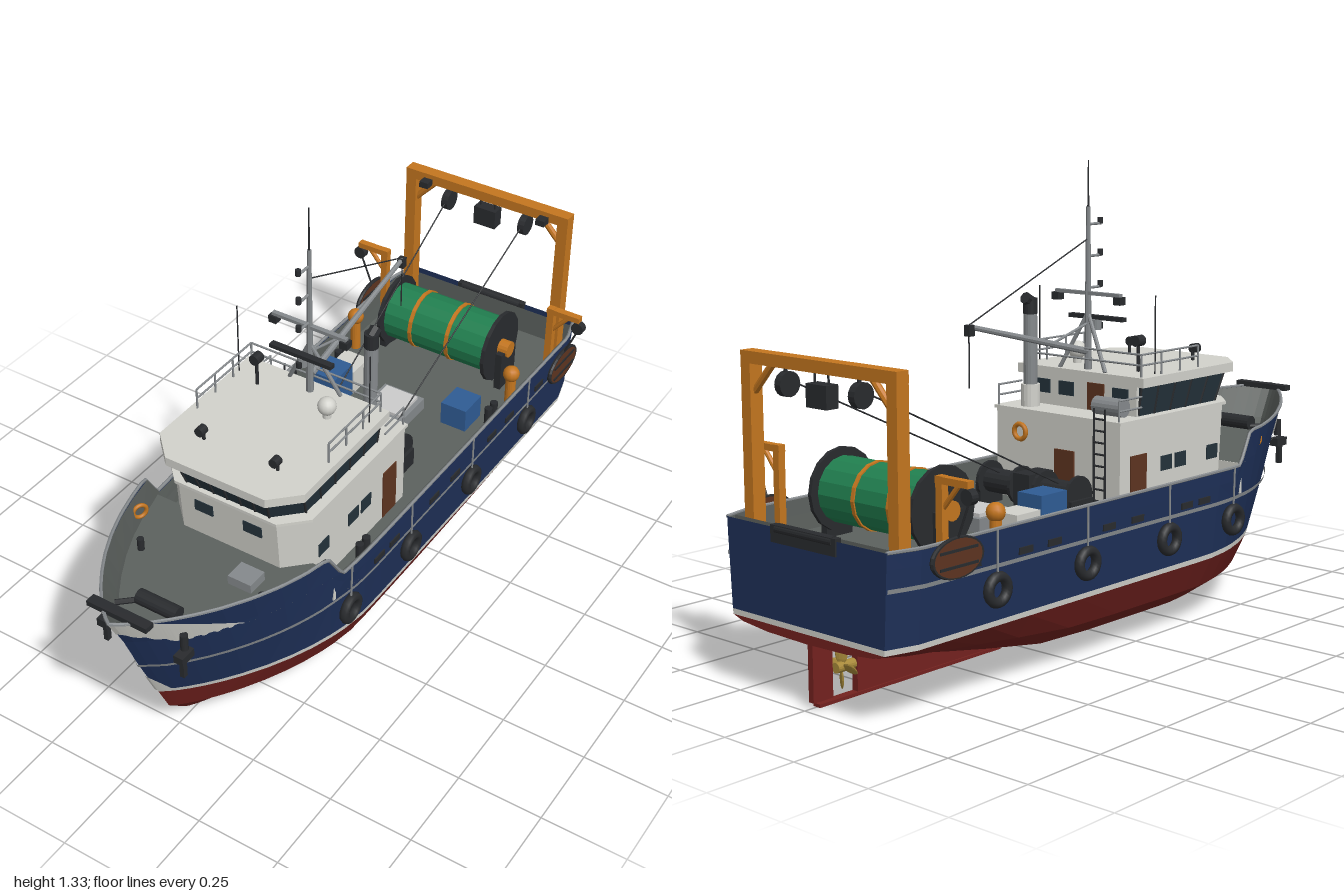
import * as THREE from 'three';

const COL = { blue: 0x1e3058, red: 0x74221f, white: 0xd2d2cc, deck: 0x5c615e, dark: 0x292b2e, orange: 0xc4761f,
  green: 0x218050, glass: 0x24323b, brown: 0x5e3420, grey: 0xcccccc, steel: 0x85898c, crate: 0x2f5c94, brass: 0xa88a3a };
const MAT = {}, SMOOTH = {};
for (const k in COL) {
  MAT[k] = new THREE.MeshStandardMaterial({ color: COL[k], flatShading: true, side: THREE.DoubleSide });
  SMOOTH[k] = new THREE.MeshStandardMaterial({ color: COL[k], side: THREE.DoubleSide });
}
const lerp = THREE.MathUtils.lerp, clamp01 = t => Math.min(1, Math.max(0, t));
const V = a => new THREE.Vector3(...a);
const STATIONS = [-0.99, -0.94, -0.9, -0.8, -0.65, -0.5, -0.3, -0.1, 0.1, 0.2, 0.3, 0.4, 0.46, 0.54, 0.62, 0.7, 0.78, 0.84, 0.89, 0.93, 0.96, 0.985, 1];

// Half section of the hull at a station, from keel to sheer
const sheer = z => z <= 0.4 ? 0.45 : z < 0.46 ? lerp(0.45, 0.54, (z - 0.4) / 0.06) : 0.54 + 0.045 * ((z - 0.46) / 0.54) ** 1.4;
function section(z0) {
  const keel = 0.015 + 0.155 * clamp01((-0.25 - z0) / 0.74) ** 1.15, top = sheer(z0);
  const bilge = f => keel + (0.195 - keel) * f;
  return [ // y, breadth, stem position, fullness of the bow
    [bilge(0), 0, 0.66, 1.6], [bilge(0.13), 0.5, 0.72, 1.6], [bilge(0.5), 0.82, 0.79, 1.7], [0.195, 0.955, 0.83, 1.8],
    [0.21, 0.96, 0.837, 1.8], [0.355, 0.985, 0.9, 2], [lerp(0.355, top, 0.55), 0.995, 0.95, 2.1], [top, 1, 1, 2.2],
  ].map(([y, b, stem, n]) => {
    const plan = (1 - clamp01((z0 - 0.25) / 0.75) ** n) ** 0.85 * (1 - 0.08 * clamp01((-0.9 - z0) / 0.09));
    return [0.32 * b * plan, y, z0 > 0.2 ? 0.2 + (z0 - 0.2) * (stem - 0.2) / 0.8 : z0];
  });
}
// Point on the hull at a station and height
function hullAt(z0, y) {
  const s = section(z0);
  let i = 0;
  while (i < s.length - 2 && s[i + 1][1] < y) i++;
  const t = clamp01((y - s[i][1]) / (s[i + 1][1] - s[i][1]));
  return s[i].map((v, k) => lerp(v, s[i + 1][k], t));
}
// Surface through rows of points
function surf(rows) {
  const w = rows[0].length, idx = [];
  for (let r = 0; r < rows.length - 1; r++) for (let c = 0; c < w - 1; c++) {
    const a = r * w + c;
    idx.push(a, a + 1, a + w, a + 1, a + w + 1, a + w);
  }
  const g = new THREE.BufferGeometry();
  g.setAttribute('position', new THREE.Float32BufferAttribute(rows.flat(2), 3));
  g.setIndex(idx);
  g.computeVertexNormals();
  return g;
}
// Capped frustum between two outlines in x and z
function loft(a, ya, b, yb) {
  const ring = (p, y) => [...p, p[0]].map(([x, z]) => [x, y, z]);
  const mid = y => Array(a.length + 1).fill([0, y, 0.2]);
  return surf([mid(ya), ring(a, ya), ring(b, yb), mid(yb)]);
}
const foot = (x, zr, zf, c) => [[-x, zr], [x, zr], [x, zf - c], [x - c, zf], [c - x, zf], [-x, zf - c]];

export function createModel() {
  const root = new THREE.Group();
  const add = (name, col, geo, x = 0, y = 0, z = 0, mats = MAT) => {
    const m = new THREE.Mesh(geo, mats[col]);
    m.name = name; m.position.set(x, y, z); root.add(m);
    return m;
  };
  const box = (name, col, w, h, d, x, y, z) => add(name, col, new THREE.BoxGeometry(w, h, d), x, y, z);
  const cyl = (name, col, r, h, x, y, z, axis = 'y', r2 = r) => {
    const g = new THREE.CylinderGeometry(r2, r, h, 16);
    if (axis === 'x') g.rotateZ(Math.PI / 2);
    if (axis === 'z') g.rotateX(Math.PI / 2);
    return add(name, col, g, x, y, z);
  };
  const bar = (name, col, a, b, r, r2 = r) => {
    const d = V(b).sub(V(a)), m = add(name, col, new THREE.CylinderGeometry(r2, r, d.length(), 8));
    m.position.copy(V(a)).addScaledVector(d, 0.5);
    m.quaternion.setFromUnitVectors(V([0, 1, 0]), d.normalize());
    return m;
  };
  const ringX = (name, col, r, t, x, y, z, ry = Math.PI / 2) => {
    add(name, col, new THREE.TorusGeometry(r, t, 8, 20), x, y, z, SMOOTH).rotation.y = ry;
  };
  const both = fn => [1, -1].forEach(fn);

  // Hull plating: underbody, boot stripe and topsides, with transom
  const plating = (name, col, i, j, inset = 1) => {
    add(name, col, surf(STATIONS.map(z => section(z).slice(i, j + 1).map(([x, y, q]) => [x * inset, y, q]))));
    add(name, col, surf(STATIONS.map(z => section(z).slice(i, j + 1).map(([x, y, q]) => [-x * inset, y, q]))));
    add('transom', col, surf(section(-0.99).slice(i, j + 1).map(([x, y, q]) => [[-x, y, q + (1 - inset)], [x, y, q + (1 - inset)]])));
  };
  plating('underbody', 'red', 0, 3);
  plating('bootStripe', 'white', 3, 4);
  plating('topsides', 'blue', 4, 7);
  plating('bulwarkLining', 'deck', 5, 7, 0.975);
  // Painted or raised strips that follow the hull
  const skin = (name, col, za, zb, low, high, off) => both(s => {
    const rows = [];
    for (let i = 0; i <= 40; i++) {
      const z0 = lerp(za, zb, i / 40);
      rows.push([low(z0), high(z0)].map(y => {
        const [x, yy, z] = hullAt(z0, y);
        return [s * (x + (x > 0 ? off : 0)), yy, z + (z0 > 0.5 ? off : 0)];
      }));
    }
    add(name, col, surf(rows));
  });
  skin('rubbingStrake', 'steel', -0.99, 1, () => 0.35, () => 0.361, 0.005);
  skin('bowPatch', 'white', 0.74, 1, z => 0.46 + 0.07 * clamp01((z - 0.9) / 0.1) + 0.006 * (Math.floor(z * 60) % 2),
    z => 0.462 + 0.12 * clamp01((z - 0.74) / 0.2), 0.003);
  skin('stemPatch', 'white', 0.965, 1, () => 0.21, z => 0.21 + 0.08 * (z - 0.965) / 0.035, 0.003);
  both(s => {
    const rail = new THREE.CatmullRomCurve3(STATIONS.map(z => { const p = section(z)[7]; return V([s * p[0], p[1], p[2]]); }), false, 'catmullrom', 0.1);
    add('capRail', 'steel', new THREE.TubeGeometry(rail, 80, 0.005, 6));
  });
  const deckStrip = (y, za, zb) => surf([za, ...STATIONS.filter(z => z > za && z < zb), zb].map(z0 => {
    const [x, , z] = hullAt(z0, y);
    return [[-x, y, z], [x, y, z]];
  }));
  add('aftDeck', 'deck', deckStrip(0.362, -0.99, 0.45));
  add('foreDeck', 'deck', deckStrip(0.452, 0.42, 1));
  box('deckStep', 'white', 0.6, 0.09, 0.01, 0, 0.406, 0.42);

  // Skeg, rudder and propeller
  const fin = new THREE.Shape([[-0.25, 0.01], [-0.83, 0.01], [-0.83, 0.16], [-0.3, 0.05]].map(p => new THREE.Vector2(...p)));
  add('skeg', 'red', new THREE.ExtrudeGeometry(fin, { depth: 0.02, bevelEnabled: false }).rotateY(-Math.PI / 2), 0.01);
  box('keelShoe', 'red', 0.025, 0.009, 0.66, 0, 0.0045, -0.63);
  box('rudder', 'red', 0.018, 0.17, 0.065, 0, 0.1, -0.945);
  cyl('propellerHub', 'brass', 0.014, 0.06, 0, 0.085, -0.865, 'z');
  for (let i = 0; i < 4; i++) {
    const g = new THREE.SphereGeometry(1, 10, 6).scale(0.017, 0.026, 0.004).rotateY(0.5).translate(0, 0.033, 0);
    add('propellerBlade', 'brass', g, 0, 0.085, -0.875).rotation.z = i * Math.PI / 2;
  }

  // Tyre fenders, freeing ports, anchors and bollards
  both(s => {
    for (const z of [0.364, 0.055, -0.294, -0.64]) {
      const x = s * (hullAt(z, 0.295)[0] + 0.012);
      ringX('tyreFender', 'dark', 0.034, 0.014, x, 0.295, z);
      bar('fenderRope', 'steel', [x, 0.33, z], [s * (hullAt(z, 0.45)[0] + 0.004), 0.45, z], 0.003);
    }
    for (const z of [0.22, 0.14, -0.08, -0.2, -0.42, -0.53, -0.72]) box('freeingPort', 'dark', 0.008, 0.018, 0.05, s * 0.317, 0.376, z);
    box('anchorShank', 'dark', 0.014, 0.08, 0.015, s * 0.125, 0.4, 0.87);
    box('anchorFlukes', 'dark', 0.03, 0.025, 0.05, s * 0.125, 0.43, 0.865);
    for (const z of [-0.5, 0.23]) for (const d of [-0.017, 0.017]) cyl('bollard', 'dark', 0.012, 0.06, s * 0.27, 0.39, z + d);
    cyl('capstanPost', 'orange', 0.016, 0.1, s * 0.28, 0.41, -0.6);
    add('capstanHead', 'orange', new THREE.SphereGeometry(0.026, 12, 8), s * 0.28, 0.48, -0.6, SMOOTH);
    bar('bowRoller', 'dark', [s * 0.06, 0.48, 0.8], [s * 0.125, 0.48, 0.86], 0.008);
    cyl('bowBollard', 'dark', 0.011, 0.05, s * 0.125, 0.475, 0.86);
    cyl('foreBollard', 'dark', 0.01, 0.04, s * 0.2, 0.47, 0.62);
  });
  cyl('windlass', 'dark', 0.022, 0.13, 0, 0.49, 0.8, 'x');
  box('bowFairlead', 'dark', 0.19, 0.016, 0.03, 0, 0.585, 0.955);
  box('foreHatch', 'steel', 0.075, 0.03, 0.065, 0.115, 0.465, 0.57);
  ringX('lifebuoy', 'orange', 0.02, 0.006, -0.262, 0.5, 0.54, 1.1);
  ringX('lifebuoy', 'orange', 0.022, 0.007, 0.13, 0.56, -0.062, 0);
  box('sternSill', 'dark', 0.24, 0.045, 0.02, 0, 0.435, -0.985);
  cyl('sternRoller', 'dark', 0.014, 0.21, 0, 0.447, -0.984, 'x');

  // Deckhouse and wheelhouse
  add('deckhouse', 'white', loft(foot(0.23, -0.05, 0.47, 0.07), 0.362, foot(0.23, -0.05, 0.49, 0.07), 0.62));
  add('houseLedge', 'white', loft(foot(0.236, -0.056, 0.5, 0.07), 0.617, foot(0.236, -0.056, 0.5, 0.07), 0.626));
  const wLow = foot(0.205, 0.06, 0.485, 0.07), wTop = foot(0.217, 0.06, 0.515, 0.07);
  add('windowBand', 'glass', loft(wLow, 0.626, wTop, 0.712));
  add('roof', 'white', loft(foot(0.235, 0.045, 0.54, 0.075), 0.71, foot(0.235, 0.045, 0.54, 0.075), 0.737));
  box('wheelhouseBackWall', 'white', 0.415, 0.086, 0.012, 0, 0.669, 0.056);
  box('wheelhouseDoor', 'brown', 0.06, 0.078, 0.006, -0.06, 0.667, 0.049);
  for (const x of [-0.15, 0.05, 0.14]) box('rearWindow', 'glass', 0.055, 0.04, 0.006, x, 0.68, 0.049);
  for (let e = 1; e < 6; e++) {
    const n = e === 3 ? 6 : e % 2 ? 5 : 1, next = (e + 1) % 6;
    for (let i = 0; i <= n; i++) {
      const at = (p, y) => [lerp(p[e][0], p[next][0], i / n), y, lerp(p[e][1], p[next][1], i / n)];
      if (e !== 2 && e !== 4) bar('mullion', 'dark', at(wLow, 0.626), at(wTop, 0.712), 0.0035);
    }
  }
  both(s => {
    for (const z of [0.37, 0.22, 0.155]) box('cabinWindow', 'glass', 0.008, 0.042, 0.05, s * 0.229, 0.485, z);
    box('sideDoor', 'brown', 0.008, 0.16, 0.07, s * 0.229, 0.445, 0.03);
    box('frontWindow', 'glass', 0.06, 0.035, 0.008, s * 0.08, 0.56, 0.485);
    bar('ladderSide', 'dark', [-0.17 + s * 0.02, 0.37, -0.066], [-0.17 + s * 0.02, 0.66, -0.066], 0.003);
    // Roof and boat deck railings
    for (const y of [0.77, 0.8]) bar('roofRail', 'steel', [s * 0.215, y, 0.06], [s * 0.215, y, 0.32], 0.003);
    for (const z of [0.06, 0.15, 0.235, 0.32]) bar('railPost', 'steel', [s * 0.215, 0.735, z], [s * 0.215, 0.8, z], 0.003);
    for (const y of [0.655, 0.685]) bar('boatDeckRail', 'steel', [s * 0.225, y, -0.048], [s * 0.225, y, 0.05], 0.003);
    bar('railPost', 'steel', [s * 0.225, 0.62, -0.048], [s * 0.225, 0.685, -0.048], 0.003);
    bar('whipAntenna', 'dark', [s * 0.216, 0.74, 0.12], [s * 0.216, 0.96, 0.12], 0.002);
    cyl('roofLampPost', 'dark', 0.005, 0.03, s * 0.12, 0.75, 0.42);
    cyl('roofLamp', 'dark', 0.014, 0.026, s * 0.12, 0.772, 0.43, 'z');
  });
  for (let i = 0; i < 8; i++) bar('ladderRung', 'dark', [-0.19, 0.4 + i * 0.033, -0.066], [-0.15, 0.4 + i * 0.033, -0.066], 0.003);
  for (const y of [0.77, 0.8]) bar('roofRail', 'steel', [-0.215, y, 0.06], [0.215, y, 0.06], 0.003);
  box('rearDoor', 'brown', 0.07, 0.16, 0.008, -0.03, 0.445, -0.052);
  cyl('raftCanister', 'steel', 0.026, 0.1, -0.15, 0.655, 0.005, 'x');
  cyl('domeStand', 'white', 0.012, 0.03, 0.105, 0.75, 0.16);
  add('antennaDome', 'white', new THREE.SphereGeometry(0.027, 14, 10), 0.105, 0.775, 0.16, SMOOTH);
  bar('searchlightPost', 'dark', [-0.14, 0.737, 0.14], [-0.14, 0.82, 0.14], 0.005);
  cyl('searchlight', 'dark', 0.016, 0.03, -0.14, 0.825, 0.14, 'z');
  cyl('exhaustPipe', 'steel', 0.02, 0.3, 0.145, 0.77, 0);
  cyl('exhaustCollar', 'white', 0.027, 0.07, 0.145, 0.655, 0);
  cyl('exhaustCap', 'dark', 0.021, 0.045, 0.145, 0.915, 0);
  bar('exhaustElbow', 'dark', [0.145, 0.925, 0.005], [0.145, 0.94, -0.022], 0.018);

  // Mast, radar, boom and stay
  bar('mast', 'steel', [0, 0.737, 0.085], [0, 1.2, 0.085], 0.011, 0.006);
  bar('topmast', 'dark', [0, 1.2, 0.085], [0, 1.33, 0.085], 0.003, 0.0015);
  both(s => {
    bar('mastStrut', 'steel', [s * 0.085, 0.737, 0.06], [0, 0.9, 0.085], 0.006);
    box('mastLamp', 'dark', 0.025, 0.022, 0.025, s * 0.115, 0.94, 0.085);
  });
  box('crosstree', 'steel', 0.24, 0.01, 0.014, 0, 0.955, 0.085);
  box('radarScanner', 'dark', 0.2, 0.012, 0.02, 0, 0.882, 0.125);
  cyl('radarPedestal', 'steel', 0.015, 0.03, 0, 0.862, 0.122);
  for (const y of [0.85, 0.97, 1.06, 1.15]) {
    bar('lampBracket', 'steel', [0, y, 0.085], [0, y, 0.14], 0.004);
    cyl('navigationLamp', 'dark', 0.008, 0.018, 0, y + 0.008, 0.138);
  }
  bar('boom', 'steel', [0, 0.79, 0.075], [0, 0.905, -0.4], 0.01, 0.007);
  box('boomBlock', 'dark', 0.02, 0.03, 0.02, 0, 0.895, -0.4);
  bar('boomFall', 'dark', [0, 0.89, -0.402], [0, 0.74, -0.402], 0.002);
  bar('stay', 'dark', [0, 1.11, 0.085], [0, 0.91, -0.4], 0.002);
  bar('boomStrut', 'steel', [0, 0.87, 0.085], [0, 0.825, -0.07], 0.004);

  // Trawl winch, hatch and crates
  box('winchGearbox', 'dark', 0.06, 0.11, 0.1, 0, 0.42, -0.15);
  both(s => {
    cyl('winchDrum', 'dark', 0.035, 0.12, s * 0.1, 0.43, -0.15, 'x');
    for (const x of [0.045, 0.165]) cyl('winchFlange', 'dark', 0.055, 0.01, s * x, 0.43, -0.15, 'x');
    box('winchFoot', 'dark', 0.02, 0.06, 0.09, s * 0.17, 0.39, -0.15);
    bar('trawlWire', 'dark', [s * 0.11, 0.46, -0.17], [s * 0.135, 0.81, -0.91], 0.0022);
  });
  box('holdCoaming', 'steel', 0.14, 0.04, 0.14, 0, 0.38, -0.37);
  box('holdCover', 'grey', 0.11, 0.012, 0.11, 0, 0.404, -0.37);
  box('whiteCrate', 'white', 0.085, 0.08, 0.09, -0.195, 0.402, -0.43);
  box('blueCrate', 'crate', 0.085, 0.115, 0.1, -0.195, 0.42, -0.33);
  box('blueCrate', 'crate', 0.085, 0.075, 0.095, 0.19, 0.4, -0.455);

  // Net drum
  cyl('netDrum', 'green', 0.09, 0.36, 0, 0.49, -0.695, 'x');
  for (const x of [-0.085, 0.045]) cyl('drumBand', 'orange', 0.094, 0.012, x, 0.49, -0.695, 'x');
  both(s => {
    cyl('drumFlange', 'dark', 0.113, 0.012, s * 0.185, 0.49, -0.695, 'x');
    cyl('drumHub', 'orange', 0.026, 0.035, s * 0.207, 0.49, -0.695, 'x');
    box('drumStand', 'dark', 0.022, 0.13, 0.09, s * 0.208, 0.425, -0.695);
  });

  // Stern gantry, with hanging blocks, and side davits with trawl doors
  box('gantryBeam', 'orange', 0.57, 0.032, 0.04, 0, 0.859, -0.92);
  box('centreBlock', 'dark', 0.075, 0.06, 0.04, 0, 0.785, -0.92);
  both(s => {
    box('gantryPost', 'orange', 0.035, 0.5, 0.04, s * 0.267, 0.61, -0.92);
    bar('gantryBrace', 'orange', [s * 0.255, 0.77, -0.92], [s * 0.18, 0.85, -0.92], 0.01);
    cyl('gantryBlock', 'dark', 0.033, 0.022, s * 0.135, 0.8, -0.915, 'x');
    bar('blockHanger', 'dark', [s * 0.135, 0.8, -0.92], [s * 0.135, 0.85, -0.92], 0.005);
    bar('centreHanger', 'dark', [s * 0.025, 0.81, -0.92], [s * 0.025, 0.85, -0.92], 0.003);
    box('floodlight', 'dark', 0.03, 0.02, 0.03, s * 0.205, 0.85, -0.885);
    box('davitPost', 'orange', 0.022, 0.25, 0.022, s * 0.3, 0.485, -0.81);
    box('davitArm', 'orange', 0.11, 0.018, 0.022, s * 0.342, 0.6, -0.81);
    bar('davitBrace', 'orange', [s * 0.305, 0.53, -0.81], [s * 0.36, 0.595, -0.81], 0.007);
    cyl('davitBlock', 'dark', 0.02, 0.022, s * 0.393, 0.57, -0.81, 'z');
    bar('doorWire', 'dark', [s * 0.393, 0.56, -0.81], [s * 0.352, 0.46, -0.81], 0.003);
    const door = new THREE.CylinderGeometry(1, 1, 0.012, 24).rotateZ(Math.PI / 2).scale(1, 0.05, 0.085);
    add('trawlDoor', 'brown', door, s * 0.35, 0.415, -0.81);
    const rim = new THREE.TorusGeometry(1, 0.07, 6, 24).rotateY(Math.PI / 2).scale(0.1, 0.05, 0.085);
    add('trawlDoorRim', 'dark', rim, s * 0.35, 0.415, -0.81);
    for (const y of [0.395, 0.435]) box('trawlDoorRib', 'dark', 0.018, 0.007, 0.13, s * 0.35, y, -0.81);
  });
  return root;
}
